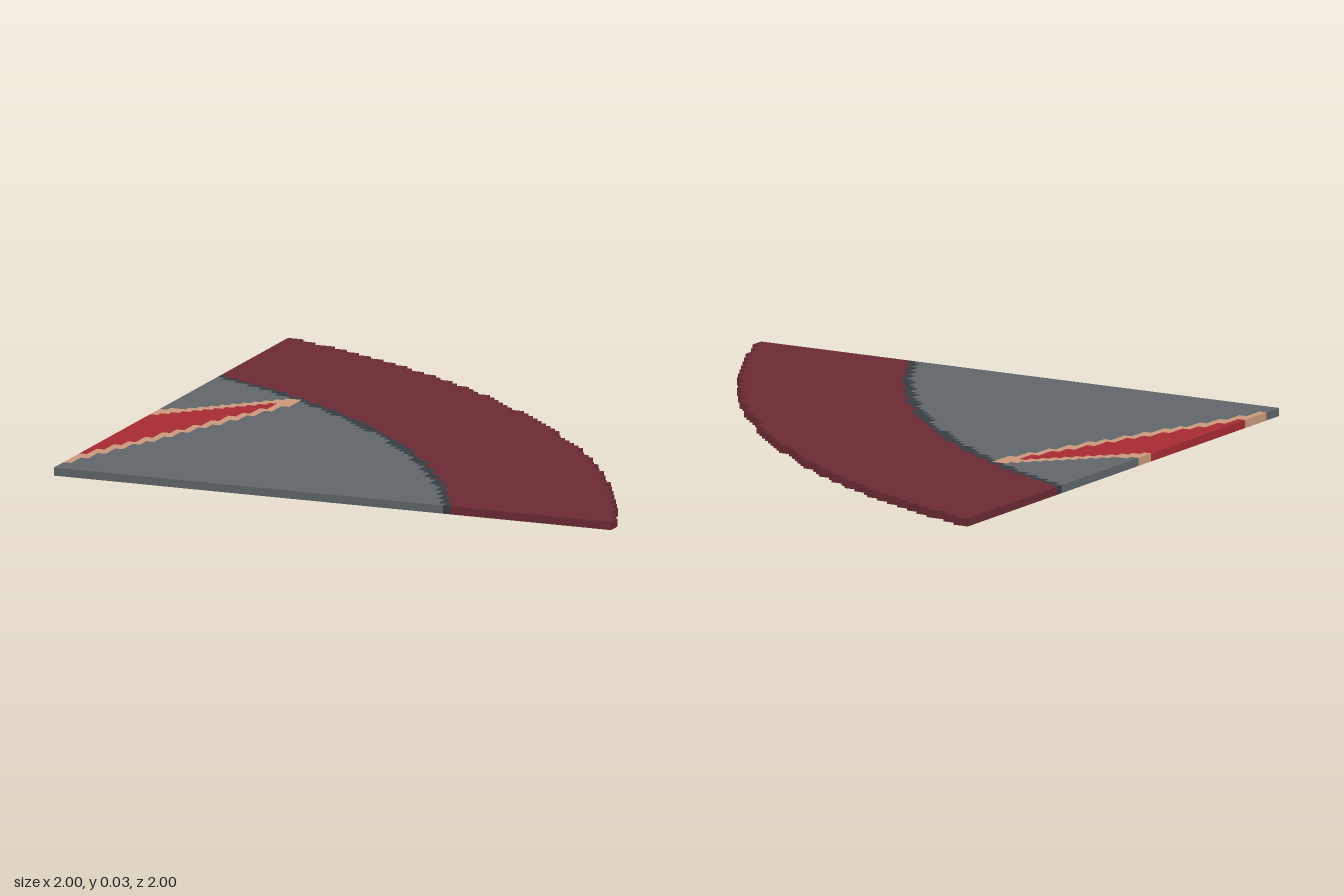
import * as THREE from 'three';
import { mergeGeometries } from 'three/addons/utils/BufferGeometryUtils.js';

const N = 73;            // cells along each side
const H = 2 / N;         // cell size, also the plate thickness
const C = 2.17;          // the arcs share a centre at (-C, C)

const COLORS = {
  outerBand: ['maroon', 0x6b2a33],
  arcLine: ['dark slate', 0x353c43],
  innerField: ['slate grey', 0x5f6669],
  spikeBorder: ['tan', 0xca987b],
  spikeFill: ['red', 0xa62a33],
};

// True when (x, z) lies inside a spike pointing away from the left edge
function inSpike(x, z, backZ, backSlope, frontX, frontSlope) {
  const behind = z < backZ - backSlope * (x + 1);
  const beyond = x > frontX - frontSlope * z;
  return !behind && !beyond;
}

// Which part owns the cell centred on (x, z)
function partAt(x, z) {
  const r = Math.hypot(x + C, z - C);
  if (r > 3.384) return null;
  if (r > 2.848) return 'outerBand';
  if (inSpike(x, z, 0.18, 0.92, -0.70, 0.37) && z > -0.11) return 'spikeFill';
  if (inSpike(x, z, 0.12, 0.95, -0.66, 0.36) && x < -0.615 && z > -0.215) return 'spikeBorder';
  return r > 2.818 ? 'arcLine' : 'innerField';
}

export function createModel() {
  const model = new THREE.Group();
  model.name = 'steppedArcPanel';
  const pieces = {};
  for (const part in COLORS) pieces[part] = [];

  // Join neighbouring cells of a row into one bar
  for (let row = 0; row < N; row++) {
    const z = -1 + (row + 0.5) * H;
    let start = 0;
    for (let col = 1; col <= N; col++) {
      const part = partAt(-1 + (start + 0.5) * H, z);
      if (col < N && partAt(-1 + (col + 0.5) * H, z) === part) continue;
      if (part) {
        const bar = new THREE.BoxGeometry((col - start) * H, H, H);
        bar.translate(-1 + (start + col) * H / 2, H / 2, z);
        pieces[part].push(bar);
      }
      start = col;
    }
  }

  // One mesh per coloured area
  for (const part in COLORS) {
    const [name, color] = COLORS[part];
    const material = new THREE.MeshStandardMaterial({ color });
    material.name = name;
    const mesh = new THREE.Mesh(mergeGeometries(pieces[part]), material);
    mesh.name = part;
    model.add(mesh);
  }
  return model;
}
